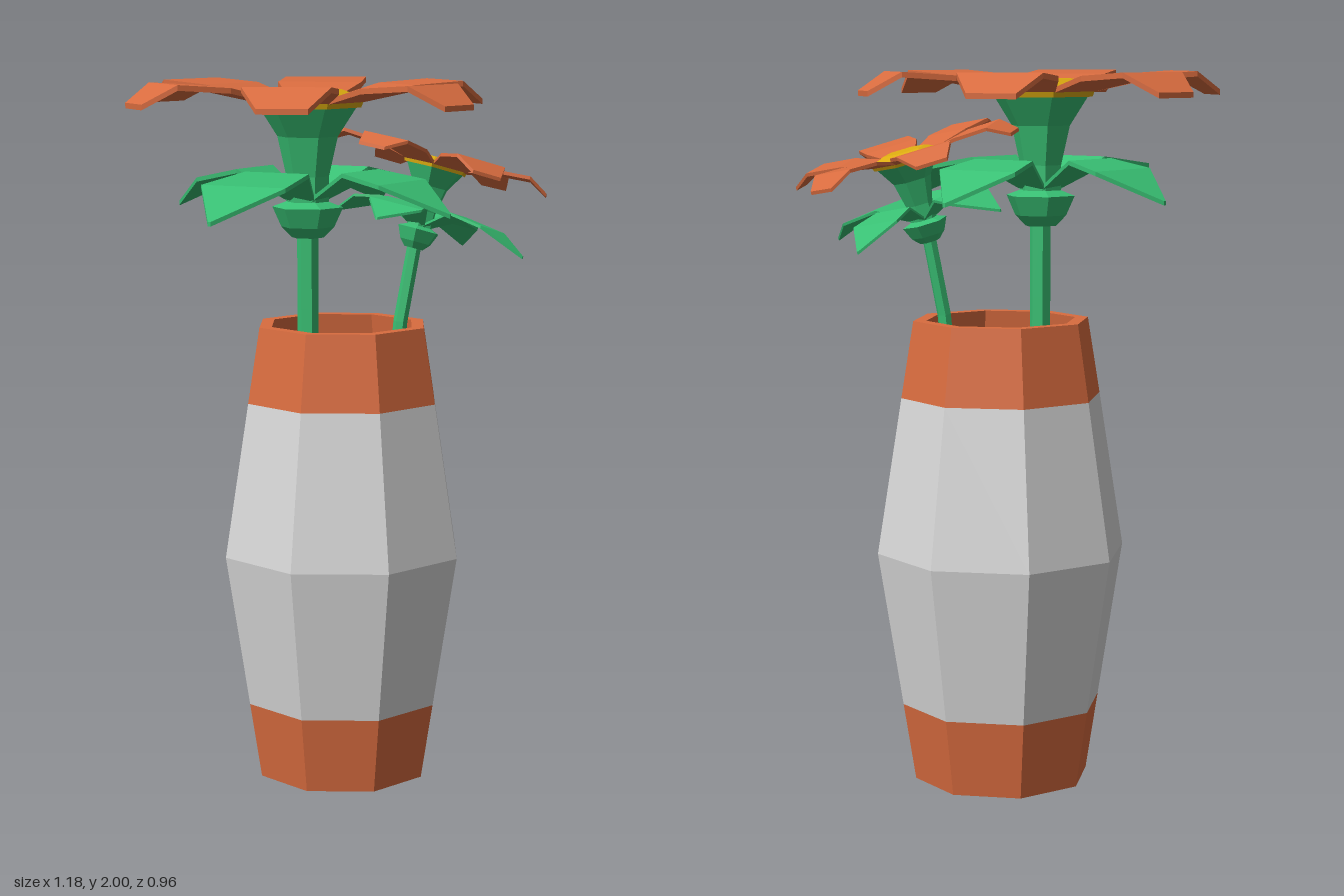
import * as THREE from 'three';

const mat = (name, color) => {
  const m = new THREE.MeshStandardMaterial({ color });
  m.name = name;
  return m;
};

// Faceted normals for the low-poly look
function facet(geometry) {
  const g = geometry.index ? geometry.toNonIndexed() : geometry;
  g.computeVertexNormals();
  return g;
}

function addMesh(parent, name, geometry, material) {
  const mesh = new THREE.Mesh(facet(geometry), material);
  mesh.name = name;
  parent.add(mesh);
  return mesh;
}

const lathe = (profile, sides) =>
  new THREE.LatheGeometry(profile.map(([r, y]) => new THREE.Vector2(r, y)), sides);

// Thin closed blade along +x from sections [distance, half width, height]
function blade(sections, thickness) {
  const pos = [], idx = [];
  sections.forEach(([r, w, y]) =>
    pos.push(r, y, w, r, y, -w, r, y - thickness, -w, r, y - thickness, w));
  const last = (sections.length - 1) * 4;
  for (let s = 0; s < last; s += 4) {
    for (let k = 0; k < 4; k++) {
      const n = (k + 1) % 4;
      idx.push(s + k, s + 4 + k, s + 4 + n, s + k, s + 4 + n, s + n);
    }
  }
  idx.push(0, 1, 2, 0, 2, 3);
  idx.push(last, last + 3, last + 2, last, last + 2, last + 1);
  const g = new THREE.BufferGeometry();
  g.setAttribute('position', new THREE.Float32BufferAttribute(pos, 3));
  g.setIndex(idx);
  return g;
}

export function createModel() {
  const orange = mat('terracotta orange', 0xd96c3f);
  const white = mat('glaze white', 0xd8d8d8);
  const green = mat('leaf green', 0x38bf73);
  const yellow = mat('pollen yellow', 0xdcab10);

  const model = new THREE.Group();
  model.name = 'vaseWithFlowers';

  // Eight-sided vase: foot band, body, rim band with the hollow inside
  const vase = new THREE.Group();
  vase.name = 'vase';
  vase.position.set(0.045, 0, -0.055);
  model.add(vase);
  addMesh(vase, 'footBand', lathe([[0, 0], [0.25, 0], [0.285, 0.22]], 8), orange);
  addMesh(vase, 'body', lathe([[0.285, 0.22], [0.355, 0.66], [0.285, 1.1]], 8), white);
  addMesh(vase, 'rimBand', lathe([[0.285, 1.1], [0.25, 1.315], [0.213, 1.315],
    [0.248, 1.1], [0.31, 0.66], [0.248, 0.22], [0, 0.22]], 8), orange);

  // Flower head with its calyx at the origin
  function flower(name) {
    const head = new THREE.Group();
    head.name = name;
    addMesh(head, 'calyx', lathe([[0, 0], [0.045, 0], [0.075, 0.03], [0.1, 0.085],
      [0.06, 0.1], [0.06, 0.17], [0.085, 0.28], [0.14, 0.365], [0, 0.365]], 6), green);
    addMesh(head, 'flowerCentre',
      lathe([[0.15, 0.36], [0.16, 0.385], [0.095, 0.41], [0, 0.41]], 6), yellow);
    for (let i = 0; i < 6; i++) {
      const petal = addMesh(head, 'petal', blade([[0.13, 0.075, 0.388], [0.27, 0.12, 0.42],
        [0.42, 0.118, 0.43], [0.505, 0.068, 0.378]], 0.015), orange);
      petal.rotation.y = THREE.MathUtils.degToRad(2 + i * 60);
    }
    [[40, 0.43], [130, 0.42], [220, 0.52], [308, 0.45]].forEach(([angle, length]) => {
      const leaf = addMesh(head, 'leaf', blade([[0.03, 0.04, 0.11], [0.17, 0.1, 0.19],
        [length * 0.67, 0.13, 0.165], [length, 0.004, 0.085]], 0.012), green);
      leaf.rotation.y = THREE.MathUtils.degToRad(angle);
    });
    model.add(head);
    return head;
  }

  function stem(name, points, radius) {
    const curve = new THREE.CatmullRomCurve3(points.map((p) => new THREE.Vector3(...p)));
    addMesh(model, name, new THREE.TubeGeometry(curve, 6, radius, 6), green);
  }

  // Tall upright flower
  flower('tallFlower').position.set(-0.08, 1.57, 0);
  stem('tallStem', [[-0.075, 0.22, 0], [-0.078, 0.9, 0], [-0.08, 1.6, 0]], 0.03);

  // Smaller flower leaning outwards
  const small = flower('smallFlower');
  small.scale.setScalar(0.64);
  small.position.set(0.232, 1.53, 0.02);
  small.rotation.set(0, Math.PI / 2, -0.28, 'ZYX');
  stem('smallStem', [[0.12, 0.22, 0.02], [0.19, 1.3, 0.02], [0.235, 1.54, 0.02]], 0.02);

  return model;
}
